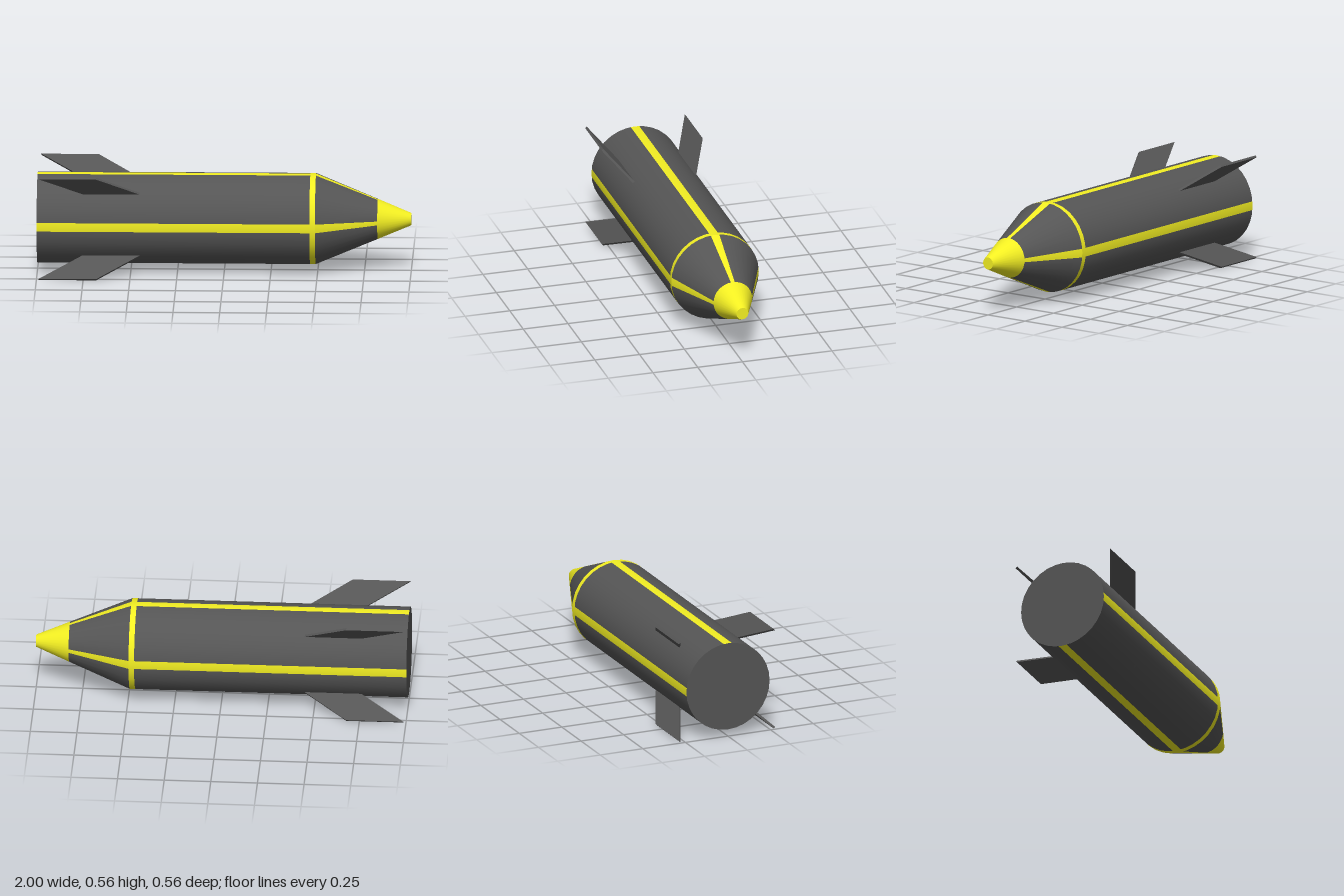
import * as THREE from 'three';

const SIDES = 32;
const AXIS_Y = 0.283;
const R = 0.244, R_NOSE = 0.108, R_TIP = 0.033;
const X_TAIL = -1, X_BAND = 0.46, X_SHOULDER = 0.49, X_NOSE = 0.82, X_TIP = 1;

const dark = new THREE.MeshStandardMaterial({ color: 0x555555 });
const yellow = new THREE.MeshStandardMaterial({ color: 0xf2ee22 });

// Point on the unit polygon of the hull; half steps lie midway along a facet
function rim(step) {
  const corner = (k) => {
    const a = (k / SIDES) * Math.PI * 2;
    return new THREE.Vector2(Math.cos(a), Math.sin(a));
  };
  const k = Math.floor(step);
  return corner(k).lerp(corner(k + 1), step - k);
}

// Smooth skin between two rings along x, covering the listed rim steps
function skin(steps, x0, r0, x1, r1) {
  const position = [], normal = [], index = [];
  const slope = (r0 - r1) / (x1 - x0);
  steps.forEach((step, i) => {
    const p = rim(step);
    const n = new THREE.Vector3(slope, p.x, p.y).normalize();
    position.push(x0, r0 * p.x, r0 * p.y, x1, r1 * p.x, r1 * p.y);
    normal.push(n.x, n.y, n.z, n.x, n.y, n.z);
    if (i > 0) {
      const a = 2 * (i - 1);
      index.push(a, a + 2, a + 1, a + 2, a + 3, a + 1);
    }
  });
  const g = new THREE.BufferGeometry();
  g.setAttribute('position', new THREE.Float32BufferAttribute(position, 3));
  g.setAttribute('normal', new THREE.Float32BufferAttribute(normal, 3));
  g.setIndex(index);
  return g;
}

export function createModel() {
  const model = new THREE.Group();
  model.name = 'rocket';
  const hull = new THREE.Group();
  hull.name = 'hull';
  hull.position.y = AXIS_Y;
  model.add(hull);

  const add = (name, geometry, material) => {
    const mesh = new THREE.Mesh(geometry, material);
    mesh.name = name;
    hull.add(mesh);
    return mesh;
  };

  // Four quarters, each with a stripe on the axis and a dark panel beside it
  for (let q = 0; q < 4; q++) {
    const s = q * SIDES / 4;
    const stripe = [s - 0.5, s, s + 0.5];
    const panel = [s + 0.5, s + 1, s + 2, s + 3, s + 4, s + 5, s + 6, s + 7, s + 7.5];
    add('bodyStripe', skin(stripe, X_TAIL, R, X_BAND, R), yellow);
    add('bodyPanel', skin(panel, X_TAIL, R, X_BAND, R), dark);
    add('coneStripe', skin(stripe, X_SHOULDER, R, X_NOSE, R_NOSE), yellow);
    add('conePanel', skin(panel, X_SHOULDER, R, X_NOSE, R_NOSE), dark);
  }

  // Shoulder band and nose
  const around = Array.from({ length: SIDES + 1 }, (_, i) => i);
  add('shoulderBand', skin(around, X_BAND, R, X_SHOULDER, R), yellow);
  add('noseCone', skin(around, X_NOSE, R_NOSE, X_TIP, R_TIP), yellow);

  // Flat end discs
  const tip = add('noseTip', new THREE.CircleGeometry(R_TIP, SIDES), yellow);
  tip.position.x = X_TIP;
  tip.rotation.y = Math.PI / 2;
  const tail = add('tailDisc', new THREE.CircleGeometry(R, SIDES), dark);
  tail.position.x = X_TAIL;
  tail.rotation.y = -Math.PI / 2;

  // Swept fins on the diagonals
  const outline = new THREE.Shape([
    new THREE.Vector2(-0.75, 0.24),
    new THREE.Vector2(-0.445, 0.24),
    new THREE.Vector2(-0.68, 0.393),
    new THREE.Vector2(-0.988, 0.393),
  ]);
  const thickness = 0.012;
  const finGeometry = new THREE.ExtrudeGeometry(outline, { depth: thickness, bevelEnabled: false });
  finGeometry.translate(0, 0, -thickness / 2);
  for (let i = 0; i < 4; i++) {
    add('fin', finGeometry, dark).rotation.x = Math.PI / 4 + i * Math.PI / 2;
  }

  return model;
}
